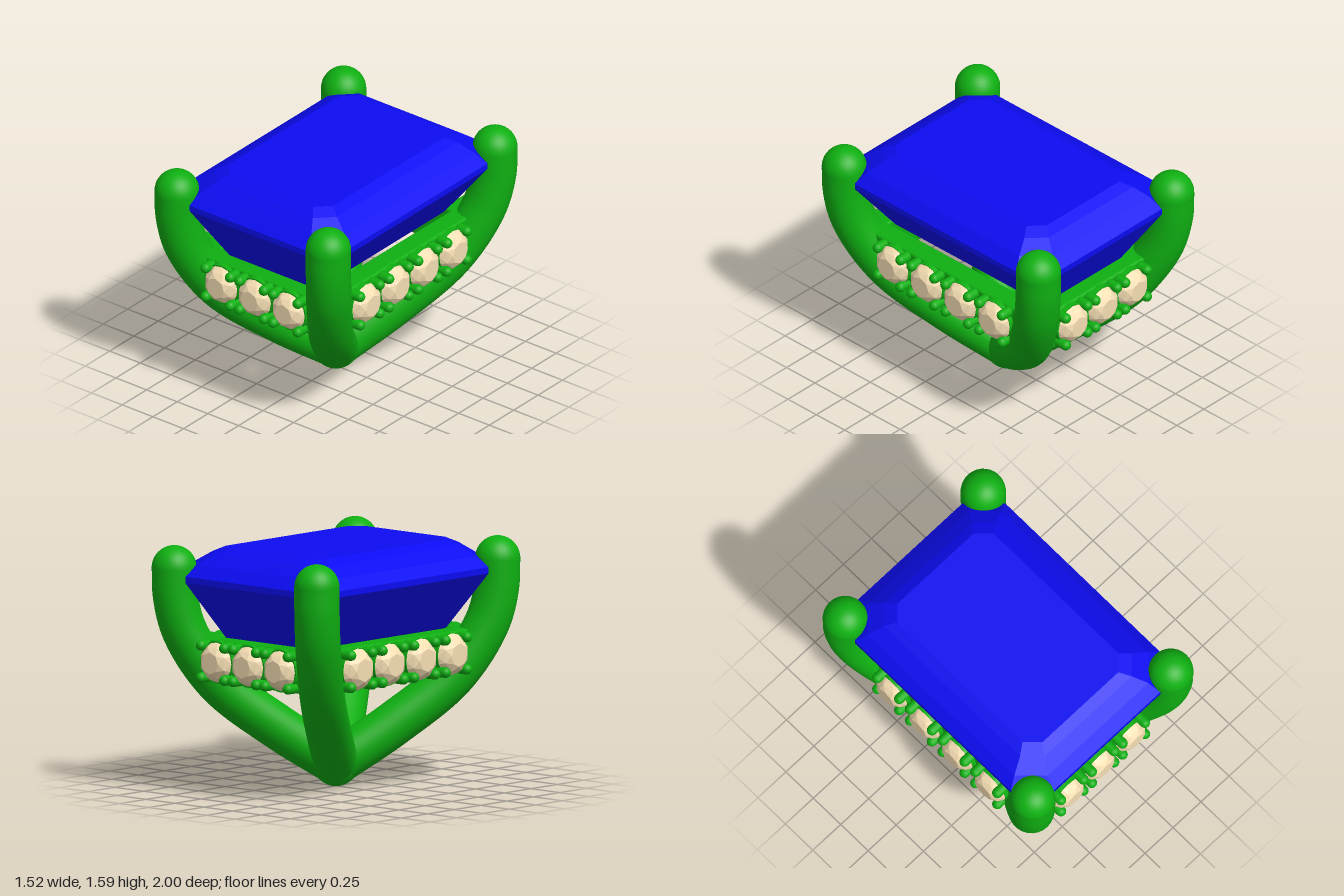
import * as THREE from 'three';
import { ConvexGeometry } from 'three/addons/geometries/ConvexGeometry.js';
import { RoundedBoxGeometry } from 'three/addons/geometries/RoundedBoxGeometry.js';

const metal = new THREE.MeshStandardMaterial({ color: 0x0fb012 });
const blue = new THREE.MeshStandardMaterial({ color: 0x0c0cf2 });
const cream = new THREE.MeshStandardMaterial({ color: 0xf5deb3 });

function add(parent, name, geometry, material, x = 0, y = 0, z = 0) {
  const mesh = new THREE.Mesh(geometry, material);
  mesh.name = name;
  mesh.position.set(x, y, z);
  parent.add(mesh);
  return mesh;
}

// Step-cut stone: stacked rectangles with clipped corners [y, halfX, halfZ, clip]
function stepCutGeometry() {
  const levels = [
    [1.57, 0.43, 0.66, 0.09], [1.535, 0.5, 0.73, 0.11], [1.47, 0.6, 0.82, 0.15],
    [1.4, 0.67, 0.9, 0.19], [1.36, 0.67, 0.9, 0.19], [1.0, 0.4, 0.69, 0.08],
  ];
  const points = [new THREE.Vector3(0, 0.7, 0.24), new THREE.Vector3(0, 0.7, -0.24)];
  for (const [y, hx, hz, c] of levels)
    for (const sx of [-1, 1])
      for (const sz of [-1, 1])
        points.push(
          new THREE.Vector3(sx * (hx - c), y, sz * hz),
          new THREE.Vector3(sx * hx, y, sz * (hz - c)),
        );
  return new ConvexGeometry(points);
}

// Round faceted stone facing +z: rings of [radius, z, sides, twist]
function roundCutGeometry(r) {
  const rings = [
    [0.55, 0.085, 8, 0], [0.83, 0.058, 8, 0.5], [1, 0.018, 16, 0],
    [1, 0.0, 16, 0], [0.3, -0.07, 8, 0],
  ];
  const points = [];
  for (const [k, z, n, twist] of rings)
    for (let i = 0; i < n; i++) {
      const a = ((i + twist) / n) * Math.PI * 2;
      points.push(new THREE.Vector3(Math.cos(a) * r * k, Math.sin(a) * r * k, z));
    }
  return new ConvexGeometry(points);
}

// One side rail with a row of round stones, each in a cup with four claws
function makeRail(count, spacing, radius, face, halfLength) {
  const rail = new THREE.Group();
  const midY = 0.86;
  add(rail, 'railBar', new RoundedBoxGeometry(halfLength * 2, 0.28, 0.15, 3, 0.02), metal, 0, midY, face - 0.075);
  const cup = new THREE.CylinderGeometry(0.138, 0.138, 0.1, 32).rotateX(Math.PI / 2);
  const stone = roundCutGeometry(radius);
  const claw = new THREE.CapsuleGeometry(0.034, 0.055, 6, 14).rotateX(Math.PI / 2);
  for (let i = 0; i < count; i++) {
    const x = (i - (count - 1) / 2) * spacing;
    add(rail, 'stoneCup', cup, metal, x, midY, face - 0.02);
    add(rail, 'accentStone', stone, cream, x, midY, face + 0.01);
    for (const sx of [-1, 1])
      for (const sy of [-1, 1])
        add(rail, 'claw', claw, metal, x + sx * 0.1, midY + sy * 0.104, face + 0.038);
  }
  return rail;
}

export function createModel() {
  const model = new THREE.Group();
  model.name = 'gemSetting';

  add(model, 'centreGem', stepCutGeometry(), blue);

  // Four curved prongs meeting at the base
  const thickness = 0.145;
  const depthRatio = 1.386;
  const profile = [[0, 0.15], [0.22, 0.39], [0.445, 0.69], [0.575, 1.02], [0.612, 1.25], [0.617, 1.44]];
  for (const sx of [-1, 1])
    for (const sz of [-1, 1]) {
      const prong = new THREE.Group();
      prong.name = 'prong';
      const path = new THREE.CatmullRomCurve3(
        profile.map(([x, y]) => new THREE.Vector3(sx * x, y, sz * x * depthRatio)),
      );
      add(prong, 'prongShaft', new THREE.TubeGeometry(path, 48, thickness, 28), metal);
      add(prong, 'prongTip', new THREE.SphereGeometry(thickness, 28, 20), metal,
        sx * 0.617, 1.44, sz * 0.617 * depthRatio);
      model.add(prong);
    }
  add(model, 'baseJoint', new THREE.SphereGeometry(0.15, 28, 20), metal, 0, 0.15, 0);

  // Rails on all four sides
  const sides = [
    ['frontRail', 0, 3, 0.275, 0.13, 0.8, 0.5],
    ['backRail', Math.PI, 3, 0.275, 0.13, 0.8, 0.5],
    ['leftRail', Math.PI / 2, 4, 0.298, 0.136, 0.565, 0.7],
    ['rightRail', -Math.PI / 2, 4, 0.298, 0.136, 0.565, 0.7],
  ];
  for (const [name, angle, ...spec] of sides) {
    const rail = makeRail(...spec);
    rail.name = name;
    rail.rotation.y = angle;
    model.add(rail);
  }
  return model;
}
